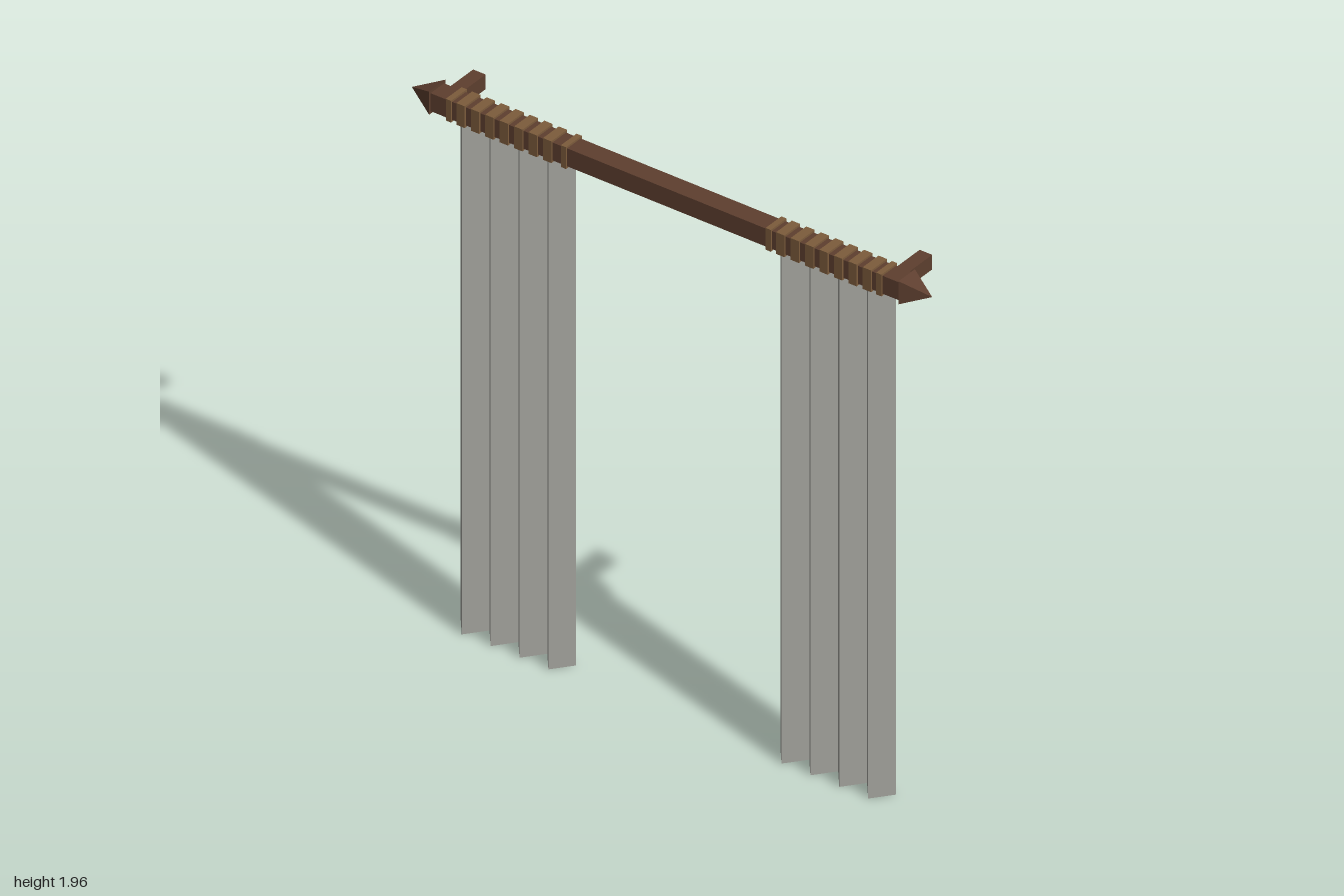
import * as THREE from 'three';

const ROD_Y = 1.914, ROD_Z = 0.058;
const FOLD = 0.0555, FOLDS = 8, DEPTH = 0.0345, CURTAIN_TOP = 1.89;

// Zigzag sheet of hanging cloth, from x0 towards +x
function curtainGeometry(x0) {
  const pos = [];
  const point = (i) => [x0 + i * FOLD, ROD_Z + (i % 2 ? DEPTH : -DEPTH)];
  for (let i = 0; i < FOLDS; i++) {
    const [xa, za] = point(i), [xb, zb] = point(i + 1);
    pos.push(xa, 0, za, xb, 0, zb, xb, CURTAIN_TOP, zb);
    pos.push(xa, 0, za, xb, CURTAIN_TOP, zb, xa, CURTAIN_TOP, za);
  }
  const g = new THREE.BufferGeometry();
  g.setAttribute('position', new THREE.Float32BufferAttribute(pos, 3));
  g.computeVertexNormals();
  return g;
}

export function createModel() {
  const model = new THREE.Group();
  model.name = 'curtainSet';

  const mat = (name, color) => {
    const m = new THREE.MeshStandardMaterial({ color });
    m.name = name;
    m.flatShading = true;
    return m;
  };
  const darkWood = mat('darkWood', 0x5e3f2f);
  const lightWood = mat('lightWood', 0x7c5c3c);
  const cloth = mat('greyCloth', 0xa2a29c);
  cloth.side = THREE.DoubleSide;

  const add = (name, geometry, material, x, y, z, parent = model) => {
    const m = new THREE.Mesh(geometry, material);
    m.name = name;
    m.position.set(x, y, z);
    parent.add(m);
    return m;
  };

  // Square rod
  add('rod', new THREE.BoxGeometry(1.81, 0.066, 0.07), darkWood, 0, ROD_Y, ROD_Z);

  for (const s of [-1, 1]) {
    const side = s > 0 ? 'left' : 'right';

    // Pyramid finial at the rod end
    const tip = new THREE.ConeGeometry(0.0425 * Math.SQRT2, 0.098, 4);
    tip.rotateY(Math.PI / 4).rotateZ(-s * Math.PI / 2);
    add(side + 'Finial', tip, darkWood, s * 0.951, ROD_Y, ROD_Z);

    // Bracket reaching back to the wall
    add(side + 'Bracket', new THREE.BoxGeometry(0.048, 0.054, 0.14), darkWood, s * 0.858, ROD_Y, -0.031);

    // Curtain with a ring at every fold; the end rings are narrower
    const x0 = s > 0 ? 0.391 : -0.838;
    add(side + 'Curtain', curtainGeometry(x0), cloth, 0, 0, 0);
    const rings = new THREE.Group();
    rings.name = side + 'Rings';
    model.add(rings);
    for (let i = 0; i <= FOLDS; i++) {
      const end = i === 0 || i === FOLDS;
      let x = x0 + i * FOLD;
      if (i === 0) x += 0.009;
      if (i === FOLDS) x += s > 0 ? -0.01 : 0.007;
      add('ring', new THREE.BoxGeometry(end ? 0.02 : 0.032, 0.08, 0.082), lightWood, x, ROD_Y, ROD_Z, rings);
    }
  }
  return model;
}
